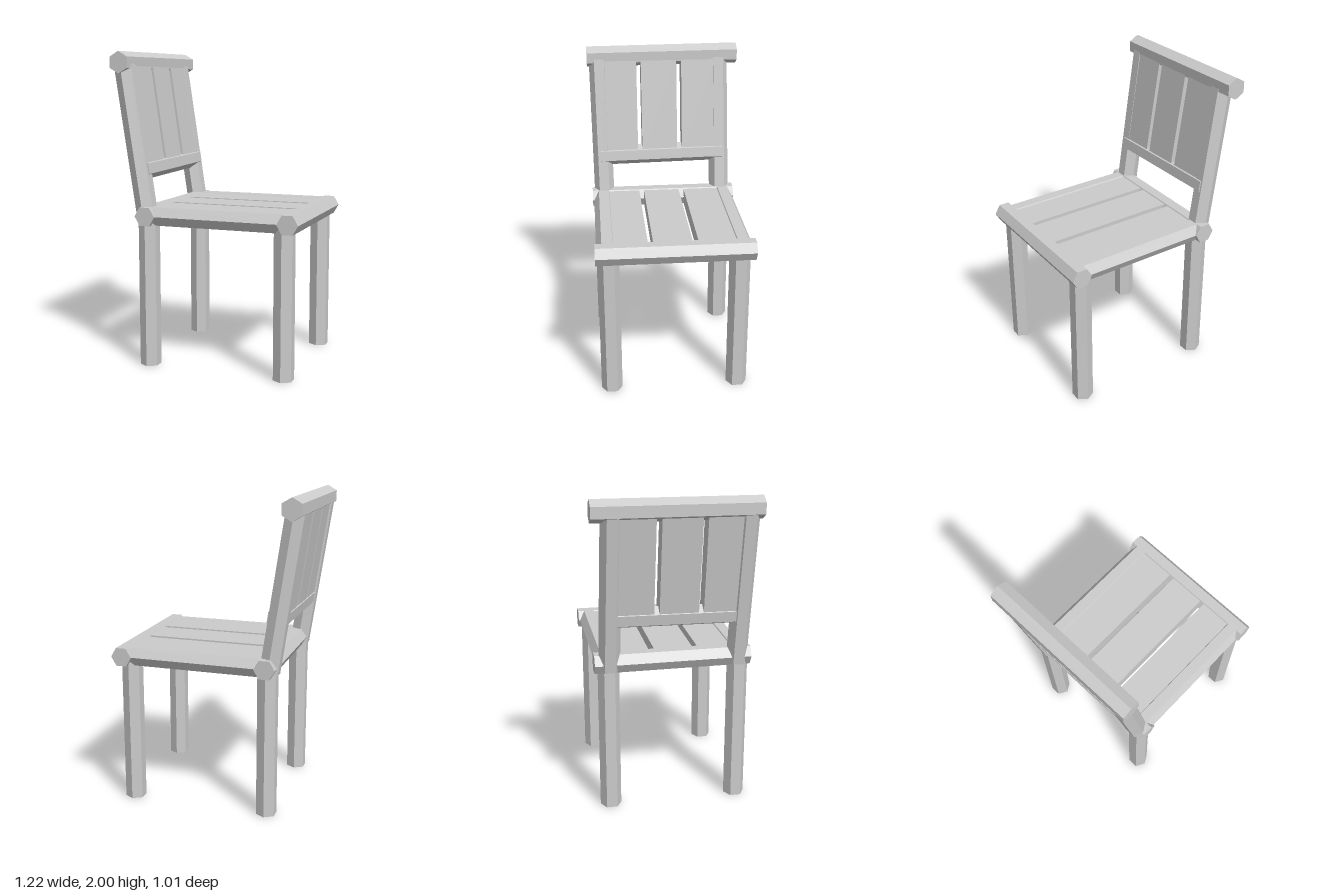
import * as THREE from 'three';

const material = new THREE.MeshStandardMaterial({ color: 0xcccccc, flatShading: true });
const R = 0.067; // circumradius of the hexagonal timbers

function add(parent, name, geometry, x, y, z) {
  const mesh = new THREE.Mesh(geometry, material);
  mesh.name = name;
  mesh.position.set(x, y, z);
  parent.add(mesh);
  return mesh;
}

// Hexagonal bar along an axis; spin turns it about its own length first
function hexBar(length, axis = 'y', spin = 0, radius = R) {
  const g = new THREE.CylinderGeometry(radius, radius, length, 6).rotateY(spin);
  if (axis === 'x') g.rotateZ(Math.PI / 2);
  if (axis === 'z') g.rotateX(Math.PI / 2);
  return g;
}

export function createModel() {
  const chair = new THREE.Group();
  chair.name = 'chair';

  // Legs, each placed slightly unevenly
  for (const [x, z] of [[-0.392, 0.42], [-0.392, -0.396], [0.503, 0.413], [0.503, -0.396]]) {
    add(chair, 'leg', hexBar(0.96), x, 0.48, z);
  }

  // Seat frame
  add(chair, 'frontSeatRail', hexBar(0.98, 'z', Math.PI / 2), 0.542, 0.969, 0.005);
  add(chair, 'backSeatRail', hexBar(0.98, 'z', Math.PI / 2), -0.39, 0.969, 0.005);
  for (const z of [0.419, -0.409]) {
    add(chair, 'sideSeatRail', hexBar(0.92, 'x'), 0.075, 0.969, z);
  }

  // Thick seat slats, almost flush with the frame above and below
  for (const [z0, z1] of [[-0.39, -0.137], [-0.102, 0.14], [0.172, 0.4]]) {
    add(chair, 'seatSlat', new THREE.BoxGeometry(0.89, 0.1, z1 - z0), 0.076, 0.97, (z0 + z1) / 2);
  }

  // Leaning backrest; y runs along the posts
  const back = new THREE.Group();
  back.name = 'backrest';
  back.position.set(-0.402, 0.93, 0);
  back.rotation.z = 0.146;
  chair.add(back);

  for (const z of [0.417, -0.387]) {
    add(back, 'backPost', hexBar(0.99), 0, 0.495, z).rotation.x = 0.012;
  }
  add(back, 'lowerBackRail', hexBar(0.84, 'z'), 0.007, 0.336, 0.009).rotation.x = 0.015;

  // Thick back slats, almost flush with the posts front and back
  for (const [z0, z1] of [[-0.36, -0.13], [-0.097, 0.143], [0.173, 0.385]]) {
    add(back, 'backSlat', new THREE.BoxGeometry(0.102, 0.64, z1 - z0), 0.005, 0.66, (z0 + z1) / 2);
  }

  // Top rail, with a hand-made slight tilt
  const top = add(chair, 'topRail', hexBar(1.012, 'z', 0, 0.069), -0.548, 1.927, -0.002);
  top.rotation.x = 0.008;

  return chair;
}
